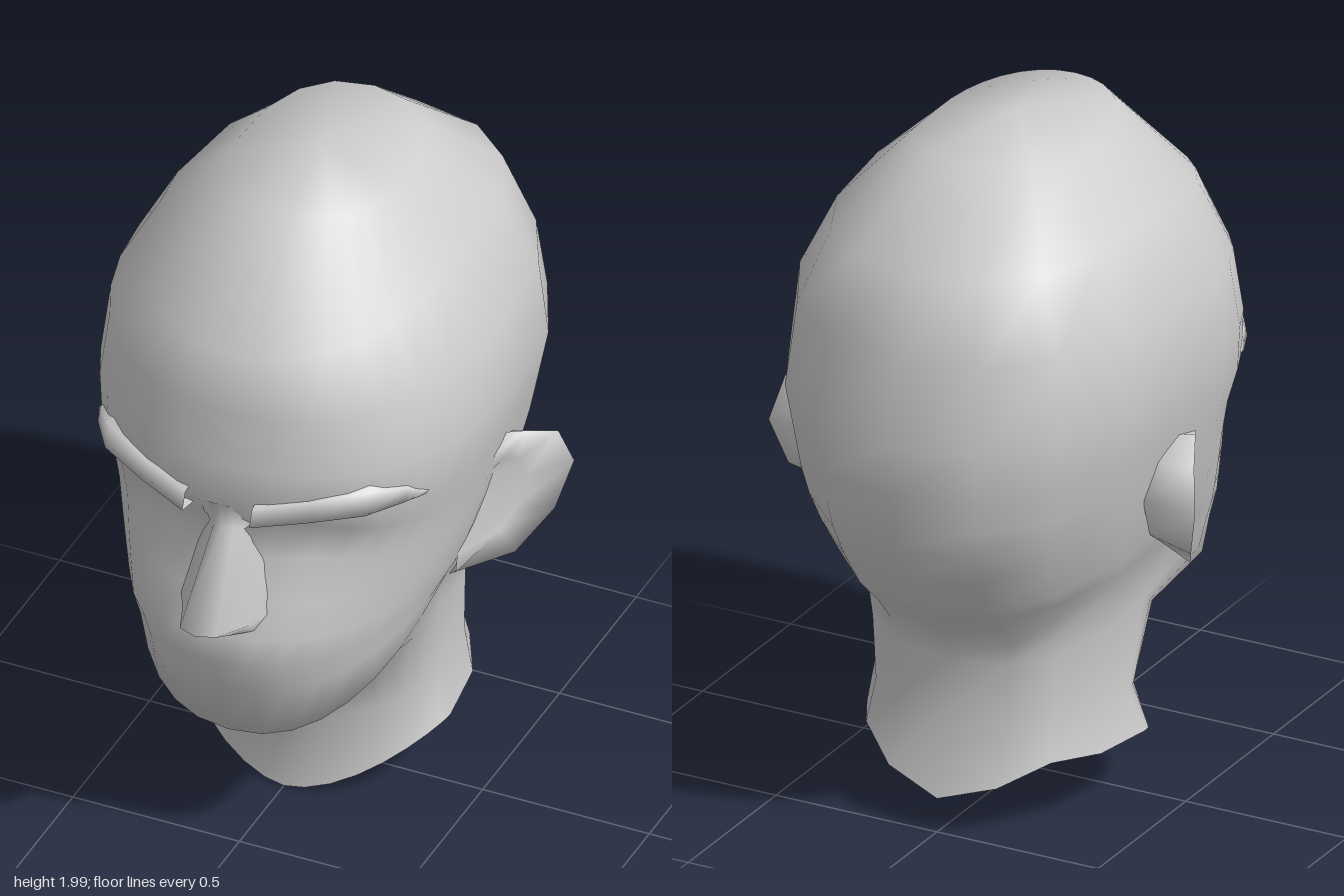
import * as THREE from 'three';
import { mergeVertices } from 'three/addons/utils/BufferGeometryUtils.js';

const skin = new THREE.MeshStandardMaterial({ color: 0xcccccc, side: THREE.DoubleSide });
skin.name = 'plain grey';

// Smooth skin over rows of points: rows run top to bottom, columns left to right seen from outside
function surface(name, rows, closed = false) {
  const n = rows[0].length, index = [];
  for (let r = 0; r < rows.length - 1; r++) {
    for (let c = 0; c < (closed ? n : n - 1); c++) {
      const a = r * n + c, b = r * n + (c + 1) % n;
      index.push(a, a + n, b, b, a + n, b + n);
    }
  }
  let geometry = new THREE.BufferGeometry();
  geometry.setAttribute('position', new THREE.Float32BufferAttribute(rows.flat(2), 3));
  geometry.setIndex(index);
  geometry = mergeVertices(geometry, 1e-4);
  geometry.computeVertexNormals();
  const mesh = new THREE.Mesh(geometry, skin);
  mesh.name = name;
  return mesh;
}

const mirrored = rows => rows.map(row => row.map(([x, y, z]) => [-x, y, z]).reverse());

// Ring: heights at front, side, back; z at front, back; half width; z of widest point;
// front squareness; then optionally back squareness, front bow and lift of the back corners
const RINGS = [
  [2.00, 2.00, 2.00, -0.04, -0.04, 0.00, -0.04, 1],
  [1.97, 1.94, 1.97, 0.29, -0.38, 0.25, -0.04, 0.97],
  [1.68, 1.77, 1.74, 0.57, -0.66, 0.435, -0.04, 0.95, 0.82],
  [1.50, 1.56, 1.52, 0.595, -0.73, 0.55, -0.04, 0.9],
  [1.34, 1.34, 1.28, 0.615, -0.79, 0.57, -0.03, 0.87],
  [1.21, 1.19, 1.12, 0.63, -0.77, 0.545, 0, 0.85],
  [1.14, 1.09, 1.03, 0.595, -0.76, 0.525, 0, 0.87],
  [1.03, 0.99, 0.95, 0.595, -0.74, 0.505, 0.02, 0.9],
  [0.90, 0.91, 0.85, 0.61, -0.69, 0.485, 0.04, 0.92],
  [0.79, 0.84, 0.74, 0.64, -0.62, 0.462, 0.06, 0.94],
  [0.71, 0.80, 0.70, 0.658, -0.58, 0.447, 0.07, 0.95],
  [0.60, 0.765, 0.65, 0.61, -0.53, 0.43, 0.08, 0.92],
  [0.43, 0.72, 0.57, 0.57, -0.45, 0.41, 0.08, 0.88, 0.8],
  [0.42, 0.59, 0.51, 0.30, -0.445, 0.37, 0, 1.1, 0.75],
  [0.25, 0.35, 0.35, 0.20, -0.43, 0.355, -0.06, 1.15, 0.75],
  [0.01, 0.21, 0.11, 0.21, -0.50, 0.39, -0.03, 1.15, 0.88, 2.1, 0.09],
];

// Finer steps across the face than around the back
const ANGLES = [
  ...Array.from({ length: 16 }, (_, i) => (i / 16 - 0.5) * Math.PI),
  ...Array.from({ length: 8 }, (_, i) => (i / 8 + 0.5) * Math.PI),
];

// Head and neck in one skin, hollowed at the eye sockets
function headRing([yf, ys, yb, zf, zb, w, zw, square, back = 0.87, bow = 1.2, lift = 0]) {
  return ANGLES.map(a => {
    const c = Math.cos(a), s = Math.sin(a), k = Math.abs(c);
    const front = c > 0, p = front ? square : back;
    const x = w * Math.sign(s) * Math.abs(s) ** p;
    const y = front ? ys + (yf - ys) * k ** bow
      : ys + (yb - ys) * k + lift * 4 * k * k * (1 - k * k);
    let z = zw + ((front ? zf : zb) - zw) * k ** p;
    if (front) {
      const dx = (Math.abs(x) - 0.23) / 0.13, dy = (y - 1.08) / 0.1;
      z -= 0.07 * Math.exp(-dx * dx - dy * dy);
    }
    return [x, y, z];
  });
}

// Nose: rows brow, bridge, tip and base, each from the ridge out to the cheek
function noseRows() {
  const halves = [
    [[0, 1.22, 0.632], [0.03, 1.22, 0.63], [0.07, 1.21, 0.61], [0.11, 1.20, 0.55]],
    [[0, 1.13, 0.61], [0.03, 1.13, 0.60], [0.07, 1.11, 0.56], [0.13, 1.09, 0.49]],
    [[0, 0.88, 0.79], [0.055, 0.88, 0.77], [0.10, 0.86, 0.655], [0.16, 0.88, 0.54]],
    [[0, 0.80, 0.65], [0.05, 0.81, 0.65], [0.10, 0.82, 0.62], [0.13, 0.82, 0.55]],
  ];
  return halves.map(h => [...h.slice(1).reverse().map(([x, y, z]) => [-x, y, z]), ...h]);
}

// Brow ridge: each station holds x, front z, lower y, upper y
function browRows() {
  const stations = [[0.10, 0.655, 1.17, 1.235], [0.25, 0.60, 1.195, 1.265],
    [0.39, 0.53, 1.215, 1.295], [0.46, 0.425, 1.215, 1.265], [0.49, 0.35, 1.205, 1.22]];
  return [
    stations.map(([x, z, , top]) => [x * 0.93, top + 0.02, z - 0.12]),
    stations.map(([x, z, , top]) => [x, top, z - 0.02]),
    stations.map(([x, z, low]) => [x, low + 0.015, z]),
    stations.map(([x, z, low]) => [x * 0.9, low - 0.005, z - 0.15]),
  ];
}

// Ear: a flared rim with a hollow in front and a wedge behind
function earRows() {
  const rim = [[0.53, 1.13, 0], [0.585, 1.17, -0.1], [0.635, 1.12, -0.2], [0.662, 1.0, -0.245],
    [0.625, 0.86, -0.2], [0.56, 0.77, -0.08], [0.44, 0.77, 0.09]];
  return rim.map(([x, y, z], i) => {
    const t = i / (rim.length - 1);
    return [
      [0.46, 1.12 - 0.34 * t, 0.02 + 0.07 * t],
      [0.50 + (x - 0.5) * 0.4, 0.96 + (y - 0.96) * 0.6, -0.03 + (z + 0.03) * 0.5],
      [x, y, z],
      [0.48, 0.96 + (y - 0.96) * 0.85, Math.min(z, -0.02) * 0.85],
    ];
  });
}

export function createModel() {
  const model = new THREE.Group();
  model.name = 'head bust';
  model.add(surface('headAndNeck', RINGS.map(headRing), true));
  model.add(surface('nose', noseRows()));
  for (const [part, rows] of [['Brow', browRows()], ['Ear', earRows()]]) {
    model.add(surface('left' + part, rows));
    model.add(surface('right' + part, mirrored(rows)));
  }
  return model;
}
